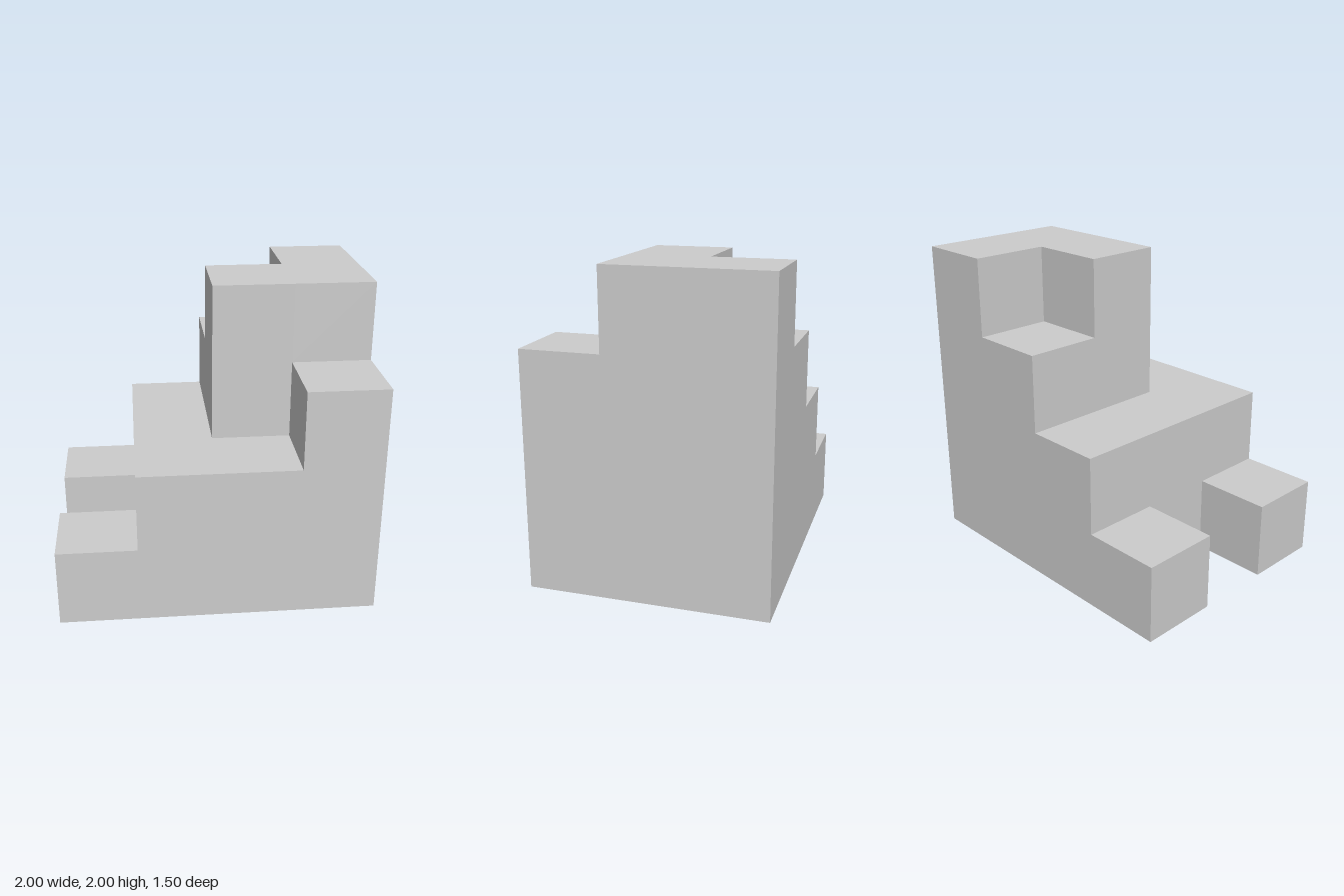
import * as THREE from 'three';

const UNIT = 0.5;

// Step heights in units: rows run back to front, columns run from -x to +x
const HEIGHTS = [
  [1, 2, 3, 4],
  [0, 2, 4, 4],
  [1, 2, 2, 3],
];

const heightAt = (row, col) => HEIGHTS[row]?.[col] ?? 0;

// Closed outer skin of the stepped block, with no inner walls
function steppedSkin() {
  const positions = [];
  const quad = (a, b, c, d) => positions.push(...[a, b, c, a, c, d].flat());

  HEIGHTS.forEach((cells, row) => cells.forEach((height, col) => {
    if (height === 0) return;
    const x0 = (col - cells.length / 2) * UNIT, x1 = x0 + UNIT;
    const z0 = (row - HEIGHTS.length / 2) * UNIT, z1 = z0 + UNIT;
    const top = height * UNIT;

    // Tread and underside
    quad([x0, top, z1], [x1, top, z1], [x1, top, z0], [x0, top, z0]);
    quad([x0, 0, z0], [x1, 0, z0], [x1, 0, z1], [x0, 0, z1]);

    // Risers, only where the neighbour is lower
    const sides = [
      [1, 0, x0, z1, x1, z1],
      [0, 1, x1, z1, x1, z0],
      [-1, 0, x1, z0, x0, z0],
      [0, -1, x0, z0, x0, z1],
    ];
    for (const [dRow, dCol, ax, az, bx, bz] of sides) {
      const low = heightAt(row + dRow, col + dCol) * UNIT;
      if (low < top) quad([ax, low, az], [bx, low, bz], [bx, top, bz], [ax, top, az]);
    }
  }));

  const geometry = new THREE.BufferGeometry();
  geometry.setAttribute('position', new THREE.Float32BufferAttribute(positions, 3));
  geometry.computeVertexNormals();
  return geometry;
}

export function createModel() {
  const grey = new THREE.MeshStandardMaterial({ color: 0xcccccc });
  grey.name = 'light grey';

  const block = new THREE.Mesh(steppedSkin(), grey);
  block.name = 'steppedBlock';

  const model = new THREE.Group();
  model.name = 'steppedBlockModel';
  model.add(block);
  return model;
}
